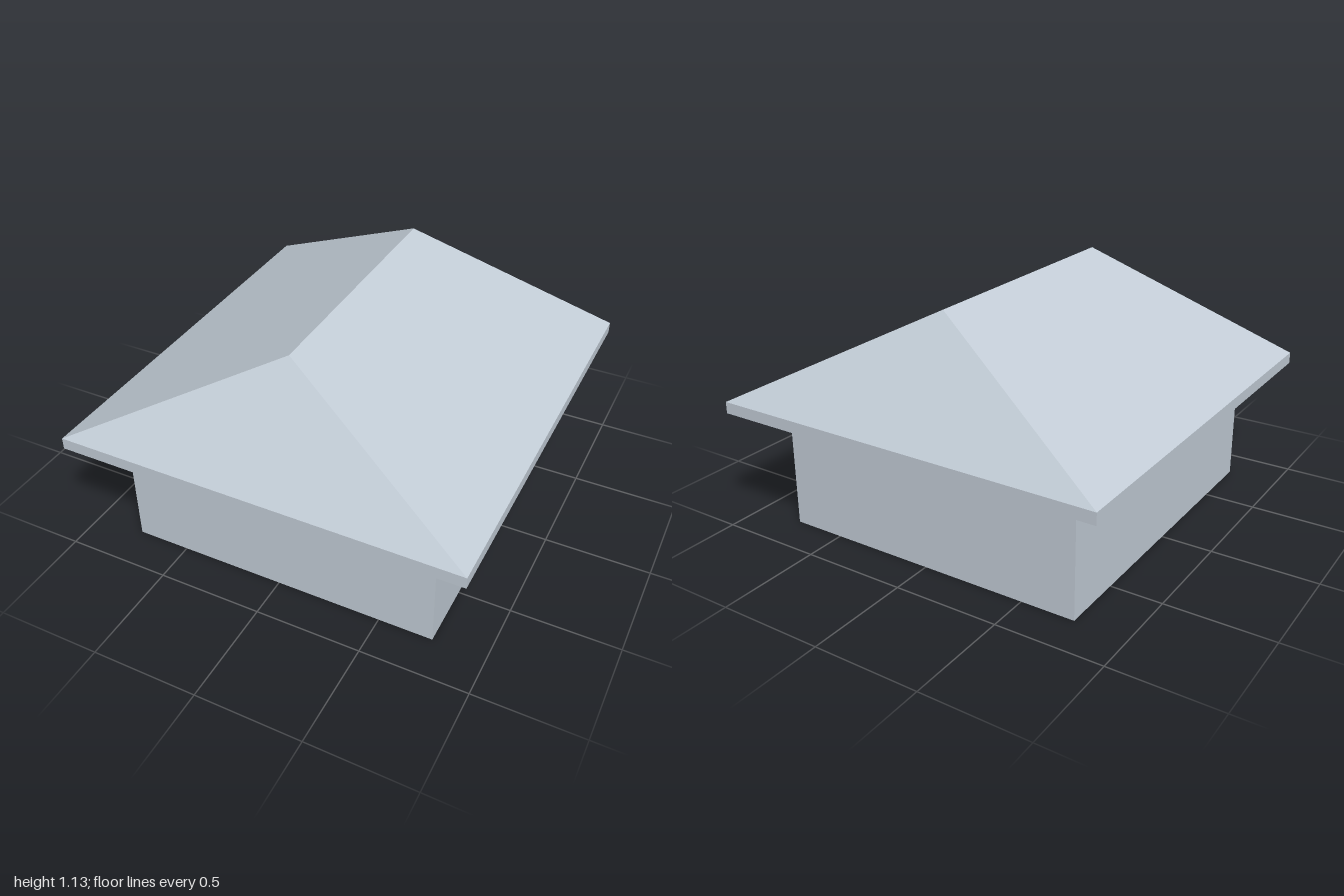
import * as THREE from 'three';

const EAVE_X = 0.95, EAVE_Z = 1, EAVE_Y = 0.585, ROOF_Y = 0.64;
const RIDGE_Y = 1.135, RIDGE_Z = 0.625;

// Hipped roof: four eave corners rising to a ridge along z
function hipRoofGeometry() {
  const frontLeft = [EAVE_X, ROOF_Y, EAVE_Z], frontRight = [-EAVE_X, ROOF_Y, EAVE_Z];
  const backLeft = [EAVE_X, ROOF_Y, -EAVE_Z], backRight = [-EAVE_X, ROOF_Y, -EAVE_Z];
  const ridgeFront = [0, RIDGE_Y, RIDGE_Z], ridgeBack = [0, RIDGE_Y, -RIDGE_Z];
  const triangles = [
    frontRight, frontLeft, ridgeFront, // front hip
    backLeft, backRight, ridgeBack, // back hip
    frontLeft, backLeft, ridgeBack, frontLeft, ridgeBack, ridgeFront, // left slope
    backRight, frontRight, ridgeFront, backRight, ridgeFront, ridgeBack, // right slope
  ];
  const geometry = new THREE.BufferGeometry();
  geometry.setAttribute('position', new THREE.Float32BufferAttribute(triangles.flat(), 3));
  geometry.computeVertexNormals();
  return geometry;
}

export function createModel() {
  const model = new THREE.Group();
  model.name = 'hipRoofHouse';
  const paleGrey = new THREE.MeshStandardMaterial({ color: 0xc4ced8 });
  paleGrey.name = 'paleBlueGrey';

  const add = (name, geometry) => {
    const mesh = new THREE.Mesh(geometry, paleGrey);
    mesh.name = name;
    model.add(mesh);
  };

  // Wall block
  add('walls', new THREE.BoxGeometry(1.51, EAVE_Y, 1.61).translate(0, EAVE_Y / 2, 0));

  // Overhanging eave slab
  add('eaves', new THREE.BoxGeometry(2 * EAVE_X, ROOF_Y - EAVE_Y, 2 * EAVE_Z)
    .translate(0, (EAVE_Y + ROOF_Y) / 2, 0));

  add('roof', hipRoofGeometry());
  return model;
}
